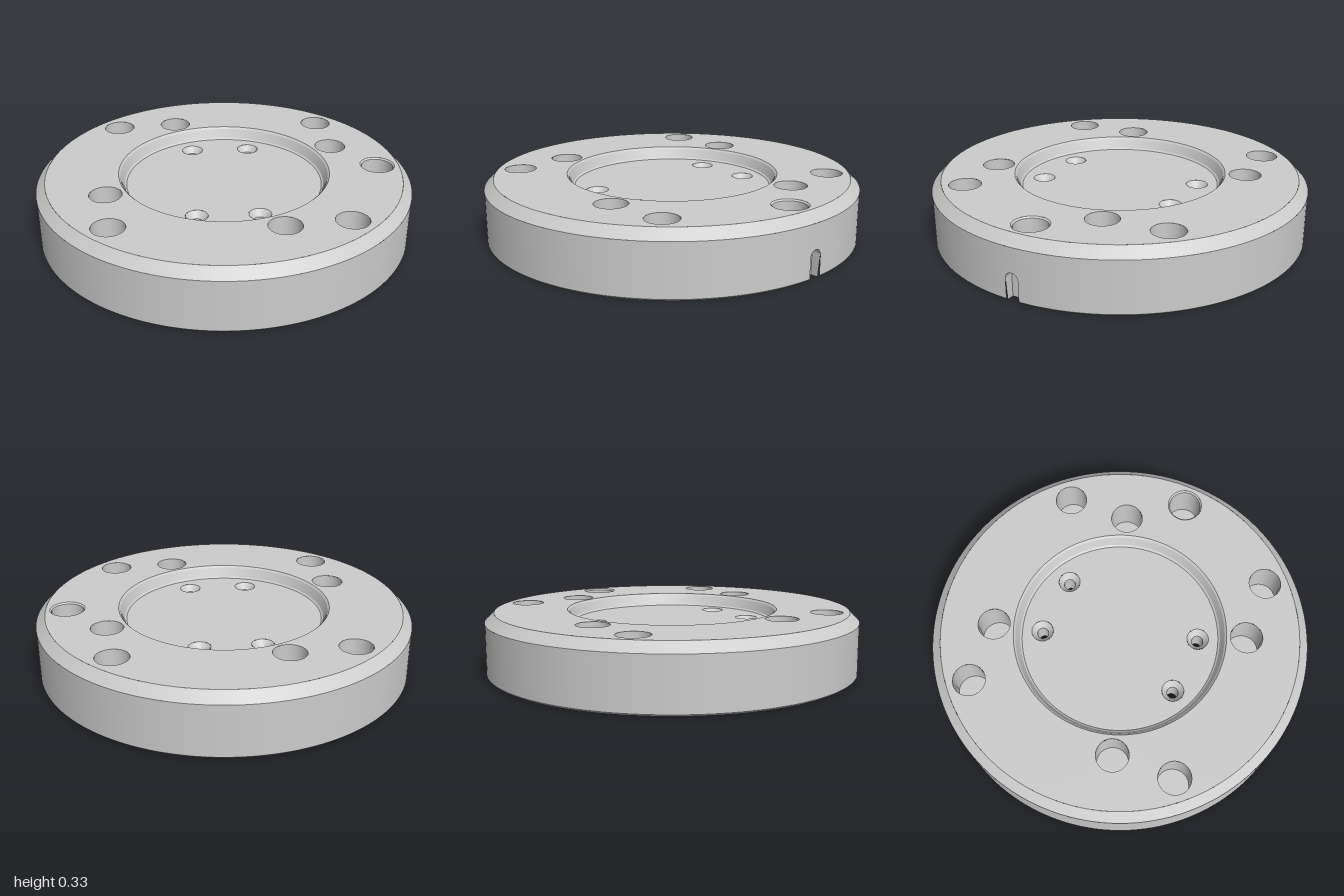
import * as THREE from 'three';

const material = new THREE.MeshStandardMaterial({ color: 0xcccccc });
const TAU = Math.PI * 2;

// Heights
const TOP = 0.33, SHOULDER = 0.28, DISH = 0.264, RIM = 0.027, HUB = 0.11, STEP = 0.12, CUP = 0.145;
// Edge slot at +x
const SLOT = { half: 0.035, springY: 0.115, depthX: 0.95 };
const slotAngle = (r) => Math.asin(SLOT.half / r);

function add(parent, name, geometry) {
  const mesh = new THREE.Mesh(geometry, material);
  mesh.name = name;
  parent.add(mesh);
  return mesh;
}

// Turned surface; rising profiles face outward, falling profiles face inward
function band(parent, name, r0, y0, r1, y1, segments = 128, gap = 0) {
  const profile = [new THREE.Vector2(r0, y0), new THREE.Vector2(r1, y1)];
  return add(parent, name, new THREE.LatheGeometry(profile, segments, Math.PI / 2 + gap, TAU - 2 * gap));
}

// Flat face at height y, facing up or down, with round holes
function face(parent, name, shape, y, up, holes = [], segments = 64) {
  for (const h of holes) {
    const hole = new THREE.Path();
    hole.absarc(h.x, up ? -h.z : h.z, h.r, 0, TAU, true);
    shape.holes.push(hole);
  }
  const geometry = new THREE.ShapeGeometry(shape, segments);
  geometry.rotateX(up ? -Math.PI / 2 : Math.PI / 2).translate(0, y, 0);
  return add(parent, name, geometry);
}

const disc = (r) => new THREE.Shape().absarc(0, 0, r, 0, TAU, false);

// Blind round hole drilled from yOpen to yEnd
function pocket(parent, name, h, yOpen, yEnd, chamfer = 0) {
  const group = new THREE.Group();
  group.name = name;
  group.position.set(h.x, 0, h.z);
  const up = yOpen > yEnd, r = h.r - chamfer;
  const yWall = yOpen - (up ? chamfer : -chamfer);
  if (chamfer) {
    if (up) band(group, 'holeChamfer', h.r, yOpen, r, yWall, 48);
    else band(group, 'holeChamfer', r, yWall, h.r, yOpen, 48);
  }
  band(group, 'holeWall', r, Math.max(yWall, yEnd), r, Math.min(yWall, yEnd), 48);
  face(group, 'holeFloor', disc(r), yEnd, up, [], 24);
  parent.add(group);
}

// Evenly spaced holes on a circle
function holeCircle(count, radius, degrees, r) {
  return Array.from({ length: count }, (_, i) => {
    const a = THREE.MathUtils.degToRad(degrees) + (i * TAU) / count;
    return { x: radius * Math.cos(a), z: radius * Math.sin(a), r };
  });
}

// Arch outline of the slot as [z, y], from one foot over the top to the other
function archPoints() {
  const points = [[SLOT.half, 0]];
  for (let i = 0; i <= 16; i++) {
    const a = (i / 16) * Math.PI;
    points.push([SLOT.half * Math.cos(a), SLOT.springY + SLOT.half * Math.sin(a)]);
  }
  points.push([-SLOT.half, 0]);
  return points;
}

function buildSlot(parent) {
  const arch = archPoints();
  const rimX = (z, y) => Math.sqrt((y < 0.01 ? 0.99 : 1) ** 2 - z * z);

  // Outer wall above the arch, bent to the rim
  const above = new THREE.Shape();
  const top = Array.from({ length: 9 }, (_, i) => [SLOT.half * (-1 + i / 4), SHOULDER]);
  const outline = [...top, ...arch.slice(1, -1)].map(([z, y]) => new THREE.Vector2(z, y));
  above.setFromPoints(outline);
  const patch = new THREE.ShapeGeometry(above);
  const p = patch.attributes.position, n = patch.attributes.normal;
  for (let i = 0; i < p.count; i++) {
    const z = -p.getX(i), x = Math.sqrt(1 - z * z);
    p.setXYZ(i, x, p.getY(i), z);
    n.setXYZ(i, x, 0, z);
  }
  add(parent, 'wallAboveSlot', patch);

  // Slot sides and arched roof
  const positions = [];
  for (let i = 0; i < arch.length - 1; i++) {
    const [z0, y0] = arch[i], [z1, y1] = arch[i + 1];
    const a = [SLOT.depthX, y0, z0], b = [rimX(z0, y0), y0, z0];
    const c = [rimX(z1, y1), y1, z1], d = [SLOT.depthX, y1, z1];
    positions.push(...a, ...c, ...b, ...a, ...d, ...c);
  }
  const sides = new THREE.BufferGeometry();
  sides.setAttribute('position', new THREE.Float32BufferAttribute(positions, 3));
  sides.computeVertexNormals();
  add(parent, 'slotSides', sides).material = new THREE.MeshStandardMaterial({ color: 0xcccccc, side: THREE.DoubleSide });

  // Slot back
  const back = new THREE.Shape(arch.map(([z, y]) => new THREE.Vector2(z, y)));
  add(parent, 'slotBack', new THREE.ShapeGeometry(back).rotateY(Math.PI / 2).translate(SLOT.depthX, 0, 0));
}

export function createModel() {
  const model = new THREE.Group();
  model.name = 'mountingFlange';

  const cornerHoles = holeCircle(4, 0.83, 45, 0.085);
  const innerHoles = holeCircle(4, 0.67, 67.5, 0.085);
  const locatingHole = { x: 0.835, z: 0, r: 0.093 };
  const largeHoles = holeCircle(4, 0.745, 22.5, 0.157);
  const hubHoles = holeCircle(8, 0.415, 0, 0.05);
  const screws = [];
  for (const x of [-0.16, 0.16]) for (const z of [-0.385, 0.385]) screws.push({ x, z });
  const screwHoles = (r) => screws.map((s) => ({ ...s, r }));

  // Outer body
  const gap = slotAngle(1);
  band(model, 'bottomChamfer', 0.99, 0, 1, 0.01, 160, gap);
  band(model, 'outerWall', 1, 0.01, 1, SHOULDER, 160, gap);
  band(model, 'topChamfer', 1, SHOULDER, 0.95, TOP, 160);
  buildSlot(model);

  // Top ring and its holes
  face(model, 'topFace', disc(0.95), TOP, true,
    [...cornerHoles, ...innerHoles, locatingHole, { x: 0, z: 0, r: 0.565 }]);
  [...cornerHoles, ...innerHoles].forEach((h) => pocket(model, 'topHole', h, TOP, 0.13));
  pocket(model, 'locatingHole', locatingHole, TOP, 0.13, 0.008);

  // Central dish
  band(model, 'dishLip', 0.565, TOP, 0.555, 0.32);
  band(model, 'dishWall', 0.555, 0.32, 0.535, 0.272);
  band(model, 'dishFillet', 0.535, 0.272, 0.525, DISH);
  face(model, 'dishFloor', disc(0.525), DISH, true, screwHoles(0.058));

  // Countersunk through holes
  for (const s of screws) {
    const hole = new THREE.Group();
    hole.name = 'screwHole';
    hole.position.set(s.x, 0, s.z);
    band(hole, 'countersink', 0.058, DISH, 0.03, 0.23, 32);
    band(hole, 'bore', 0.03, 0.23, 0.03, HUB, 32);
    model.add(hole);
  }

  // Bottom rim, notched by the slot
  const a = slotAngle(0.99);
  const rim = new THREE.Shape();
  rim.absarc(0, 0, 0.99, a, TAU - a, false);
  rim.lineTo(SLOT.depthX, -SLOT.half);
  rim.lineTo(SLOT.depthX, SLOT.half);
  rim.closePath();
  face(model, 'bottomRim', rim, 0, false, [{ x: 0, z: 0, r: 0.925 }]);

  // Underside recess with large blind holes
  band(model, 'recessWall', 0.925, RIM, 0.925, 0);
  face(model, 'recessFloor', disc(0.925), RIM, false, [...largeHoles, { x: 0, z: 0, r: 0.49 }]);
  largeHoles.forEach((h) => pocket(model, 'largeHole', h, RIM, 0.24));

  // Hub recess, shallow step and centre cup
  band(model, 'hubWall', 0.49, HUB, 0.49, RIM);
  face(model, 'hubFloor', disc(0.49), HUB, false,
    [...hubHoles, ...screwHoles(0.03), { x: 0, z: 0, r: 0.34 }]);
  hubHoles.forEach((h) => pocket(model, 'hubHole', h, HUB, 0.21));
  band(model, 'stepWall', 0.34, STEP, 0.34, HUB);
  face(model, 'stepFloor', disc(0.34), STEP, false, [{ x: 0, z: 0, r: 0.203 }]);
  band(model, 'cupWall', 0.203, CUP, 0.203, STEP);
  face(model, 'cupFloor', disc(0.203), CUP, false);

  return model;
}
